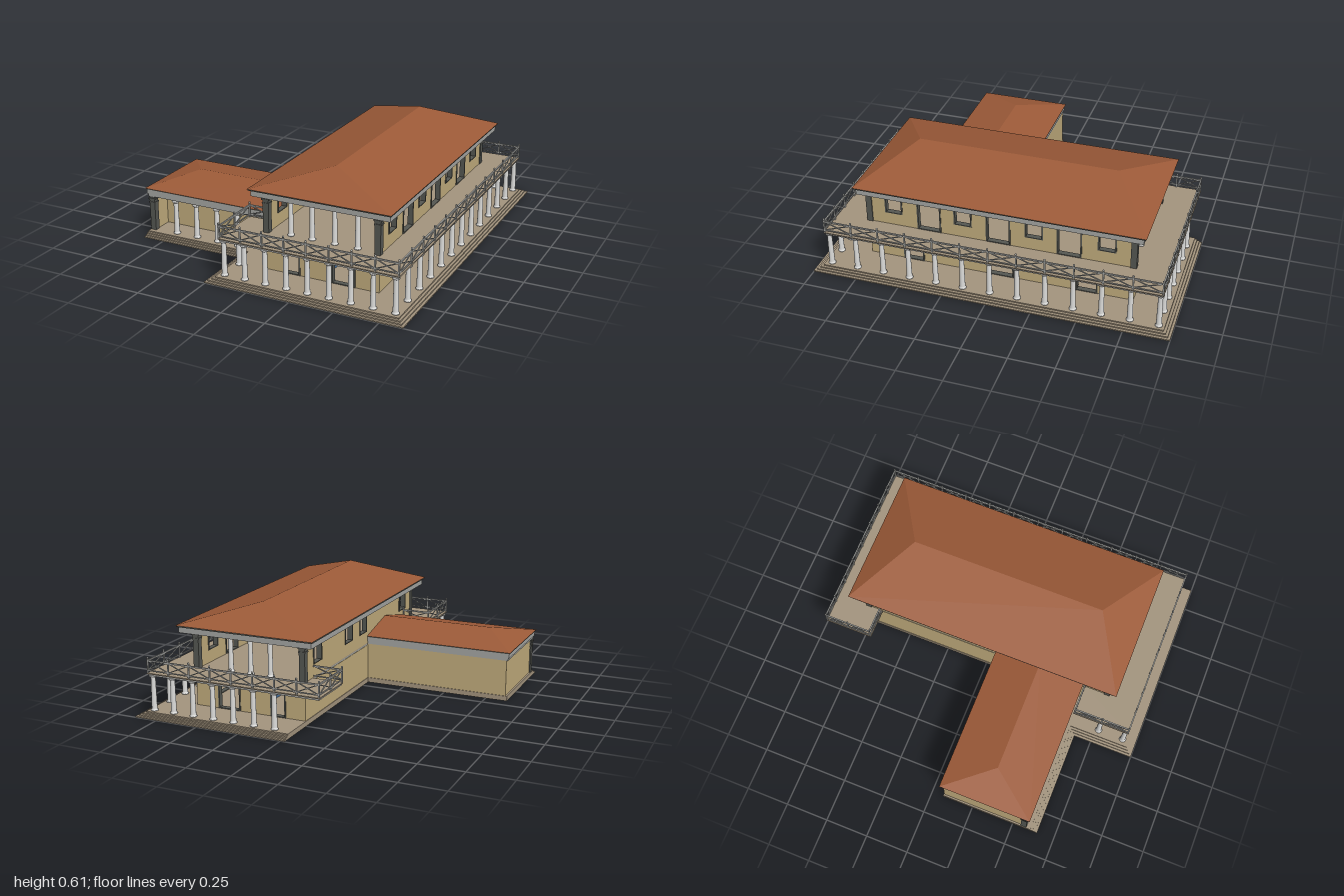
import * as THREE from 'three';

const mat = (name, color, side = THREE.FrontSide) => {
  const m = new THREE.MeshStandardMaterial({ color, side });
  m.name = name;
  return m;
};

export function createModel() {
  const M = {
    stone: mat('paving stone', 0xa3947e),
    plaster: mat('ochre plaster', 0xc0ab7c),
    tile: mat('terracotta tile', 0x9c5a38),
    marble: mat('white marble', 0xdededc),
    trim: mat('grey trim', 0xa4a5a2),
    dark: mat('dark stone', 0x555752),
    blue: mat('blue paint', 0x46719f),
    red: mat('red paint', 0x9a4a35),
  };
  const root = new THREE.Group();
  const group = (name) => {
    const g = new THREE.Group();
    g.name = name;
    root.add(g);
    return g;
  };
  const add = (parent, name, geo, m, x = 0, y = 0, z = 0) => {
    const mesh = new THREE.Mesh(geo, m);
    mesh.name = name;
    mesh.position.set(x, y, z);
    parent.add(mesh);
    return mesh;
  };
  // box given by its limits
  const block = (parent, name, m, x0, x1, y0, y1, z0, z1) =>
    add(parent, name, new THREE.BoxGeometry(x1 - x0, y1 - y0, z1 - z0), m,
      (x0 + x1) / 2, (y0 + y1) / 2, (z0 + z1) / 2);
  const rect = (T, a, b, c, d) => {
    const p = new T();
    p.moveTo(a, c); p.lineTo(b, c); p.lineTo(b, d); p.lineTo(a, d); p.closePath();
    return p;
  };
  // horizontal slab from [x, z] corners
  const slab = (parent, name, m, pts, y, h) => {
    const s = new THREE.Shape(pts.map(([x, z]) => new THREE.Vector2(x, -z)));
    const g = new THREE.ExtrudeGeometry(s, { depth: h, bevelEnabled: false });
    add(parent, name, g.rotateX(-Math.PI / 2), m, 0, y, 0);
  };

  // wall along x or z with framed openings [start, end, bottom, top]
  const wall = (name, axis, pos, u0, u1, y0, y1, openings) => {
    const g = group(name);
    const panel = (part, shape, t, m) => {
      const geo = new THREE.ExtrudeGeometry(shape, { depth: t, bevelEnabled: false });
      geo.translate(0, 0, -t / 2);
      if (axis === 'z') geo.rotateY(-Math.PI / 2);
      add(g, part, geo, m, axis === 'z' ? pos : 0, 0, axis === 'z' ? 0 : pos);
    };
    const s = rect(THREE.Shape, u0, u1, y0, y1);
    for (const o of openings) {
      s.holes.push(rect(THREE.Path, ...o));
      const f = rect(THREE.Shape, o[0] - 0.006, o[1] + 0.006, o[2] - 0.0005, o[3] + 0.007);
      f.holes.push(rect(THREE.Path, o[0] + 0.002, o[1] - 0.002, o[2] + 0.004, o[3] - 0.002));
      panel('frame', f, 0.03, M.dark);
    }
    panel('plaster', s, 0.022, M.plaster);
  };

  // stepped platform
  const base = group('stepped base');
  for (let i = 0; i < 4; i++) {
    const d = i * 0.014;
    slab(base, 'step', M.stone, [
      [-0.875, 0.07], [-0.875, 0.65 - d], [-0.255 + d, 0.65 - d], [-0.255 + d, 1 - d],
      [0.88 - d, 1 - d], [0.88 - d, -1 + d], [-0.025, -1 + d], [-0.025, 0.07],
    ], i * 0.007, 0.007);
  }

  // ground floor walls
  const G = 0.027, F = 0.228;
  const door = (a, b) => [a, b, G + 0.002, 0.205];
  wall('ground right wall', 'z', 0.63, -0.75, 0.75, G, F,
    [door(-0.55, -0.44), door(-0.08, 0.06), door(0.44, 0.55)]);
  wall('ground left wall', 'z', -0.011, -0.75, 0.75, G, F, []);
  wall('ground front wall', 'x', 0.74, -0.022, 0.641, G, F, [door(0.1, 0.18), door(0.375, 0.5)]);
  wall('ground back wall', 'x', -0.74, -0.022, 0.641, G, F, [door(0.1, 0.18), door(0.375, 0.5)]);
  const inner = group('painted inner walls');
  block(inner, 'long partition', M.blue, 0.295, 0.31, G, F, -0.72, 0.72);
  for (const z of [-0.4, 0.4]) block(inner, 'cross partition', M.blue, 0, 0.295, G, F, z - 0.007, z + 0.007);

  // upper floor deck over the ground storey and colonnade
  const deckPts = (e) => [
    [-0.2 - e, 0.605], [-0.2 - e, 0.94 + e], [0.83 + e, 0.94 + e], [0.83 + e, -0.945 - e],
    [-0.2 - e, -0.945 - e], [-0.2 - e, -0.66], [-0.02, -0.66], [-0.02, 0.605],
  ];
  const deck = group('balcony deck');
  slab(deck, 'beam', M.trim, deckPts(-0.006), 0.226, 0.01);
  slab(deck, 'floor', M.stone, deckPts(0), 0.236, 0.006);

  // columns
  const colGeo = (h, r) => new THREE.LatheGeometry([
    [0, 0], [1.3, 0], [1.3, 0.03], [1.05, 0.05], [1, 0.08], [0.84, 0.93],
    [1.2, 0.96], [1.35, 0.97], [1.35, 1], [0, 1],
  ].map(([x, y]) => new THREE.Vector2(x * r, y * h)), 14);
  const lower = colGeo(0.2, 0.0155), upper = colGeo(0.205, 0.0145);
  const colonnade = group('colonnade');
  const column = (geo, x, y, z) => add(colonnade, 'column', geo, M.marble, x, y, z);
  const nx = 8, nz = 12, X0 = -0.175, X1 = 0.805, Z0 = -0.925, Z1 = 0.92;
  for (let i = 0; i <= nx; i++) {
    const x = X0 + (X1 - X0) * i / nx;
    column(lower, x, G, Z1);
    if (x > 0) column(lower, x, G, Z0);
  }
  for (let i = 1; i < nz; i++) column(lower, X1, G, Z0 + (Z1 - Z0) * i / nz);
  column(lower, X0, G, 0.77);
  for (const x of [-0.705, -0.57, -0.435, -0.305]) column(lower, x, G, 0.565);
  for (const x of [0.125, 0.25, 0.38, 0.51]) column(upper, x, 0.242, 0.735);
  for (const x of [0.19, 0.31, 0.43]) column(upper, x, 0.242, -0.735);

  // square corner piers with banded capitals
  const piers = group('corner piers');
  const pier = (x, z, y0, y1) => {
    block(piers, 'shaft', M.dark, x - 0.017, x + 0.017, y0, y1, z - 0.017, z + 0.017);
    for (const [d, e] of [[0.012, 0.005], [0.035, 0.003]])
      block(piers, 'band', M.dark, x - 0.017 - e, x + 0.017 + e, y1 - d - 0.008, y1 - d,
        z - 0.017 - e, z + 0.017 + e);
  };
  for (const x of [-0.01, 0.632]) for (const z of [-0.745, 0.745]) pier(x, z, 0.242, 0.447);

  // upper floor side walls, open at both ends
  const U = 0.242, T = 0.447;
  const win = (z, w = 0.045) => [z - w, z + w, 0.315, 0.42];
  const tall = (z) => [z - 0.063, z + 0.063, U + 0.002, 0.425];
  wall('upper right wall', 'z', 0.632, -0.73, 0.73, U, T,
    [win(-0.6), tall(-0.395), win(-0.2), tall(0), win(0.2), tall(0.395), win(0.6)]);
  wall('upper left wall', 'z', -0.011, -0.73, 0.73, U, T,
    [win(-0.6), win(-0.2), win(0), win(0.6)]);
  for (const z of [-0.4, 0.2, 0.4])
    block(inner, 'red panel', M.red, 0.001, 0.006, 0.35, 0.41, z - 0.08, z + 0.08);

  // wing: plain back and end, porch on the front
  wall('wing back wall', 'x', 0.085, -0.865, -0.02, G, 0.235, []);
  wall('wing end wall', 'z', -0.854, 0.08, 0.56, G, 0.235, []);
  wall('wing front wall', 'x', 0.44, -0.85, -0.02, G, 0.235, []);
  pier(-0.855, 0.565, G, 0.235);

  // entablatures
  const ent = group('entablature');
  block(ent, 'main beam', M.trim, -0.085, 0.71, 0.445, 0.478, -0.805, 0.785);
  block(ent, 'main cornice', M.dark, -0.095, 0.718, 0.478, 0.487, -0.815, 0.797);
  block(ent, 'wing lower beam', M.trim, -0.873, -0.02, 0.235, 0.25, 0.072, 0.588);
  block(ent, 'wing upper beam', M.trim, -0.879, -0.02, 0.25, 0.278, 0.067, 0.593);
  block(ent, 'wing cornice', M.dark, -0.884, -0.02, 0.278, 0.284, 0.063, 0.597);

  // hipped roof: eaves corners and two ridge ends, with a flat underside
  const roof = (name, x0, x1, z0, z1, y0, a, b, alongX) => {
    const A = [x0, y0, z0], B = [x1, y0, z0], C = [x1, y0, z1], D = [x0, y0, z1];
    const quad = (p, q, r, s) => [p, q, r, p, r, s];
    const tris = alongX
      ? [...quad(D, C, b, a), ...quad(B, A, a, b), A, D, a, C, B, b]
      : [...quad(A, D, b, a), ...quad(C, B, a, b), D, C, b, B, A, a];
    tris.push(...quad(A, B, C, D));
    const g = new THREE.BufferGeometry();
    g.setAttribute('position', new THREE.Float32BufferAttribute(tris.flat(), 3));
    g.computeVertexNormals();
    add(root, name, g, M.tile);
  };
  roof('main roof', -0.098, 0.722, -0.82, 0.803, 0.487, [0.31, 0.608, -0.57], [0.31, 0.608, 0.565], false);
  roof('wing roof', -0.887, -0.02, 0.06, 0.6, 0.284, [-0.68, 0.344, 0.33], [-0.02, 0.344, 0.33], true);

  // balcony railing with crossed bars
  const railing = group('balcony railing');
  const bar = (p, q, t) => {
    const m = add(railing, 'bar', new THREE.BoxGeometry(t, t, p.distanceTo(q)), M.trim);
    m.position.copy(p).lerp(q, 0.5);
    m.lookAt(q);
  };
  const post = (x, z) => {
    block(railing, 'post', M.trim, x - 0.004, x + 0.004, 0.24, 0.322, z - 0.004, z + 0.004);
    add(railing, 'knob', new THREE.SphereGeometry(0.006, 8, 6), M.trim, x, 0.326, z);
  };
  const rail = (xa, za, xb, zb, n) => {
    for (let i = 0; i < n; i++) {
      const at = (k, y) => new THREE.Vector3(xa + (xb - xa) * k / n, y, za + (zb - za) * k / n);
      const lo = 0.256, hi = 0.311;
      bar(at(i, lo), at(i + 1, lo), 0.006);
      bar(at(i, hi), at(i + 1, hi), 0.008);
      bar(at(i, lo), at(i + 1, hi), 0.005);
      bar(at(i, hi), at(i + 1, lo), 0.005);
      const p = at(i, 0);
      post(p.x, p.z);
    }
  };
  rail(-0.03, 0.612, -0.195, 0.612, 1);
  rail(-0.195, 0.612, -0.195, 0.935, 2);
  rail(-0.195, 0.935, 0.825, 0.935, nx);
  rail(0.825, 0.935, 0.825, -0.94, nz);
  rail(0.825, -0.94, -0.195, -0.94, nx);
  rail(-0.195, -0.94, -0.195, -0.665, 2);
  rail(-0.195, -0.665, -0.03, -0.665, 1);

  return root;
}
